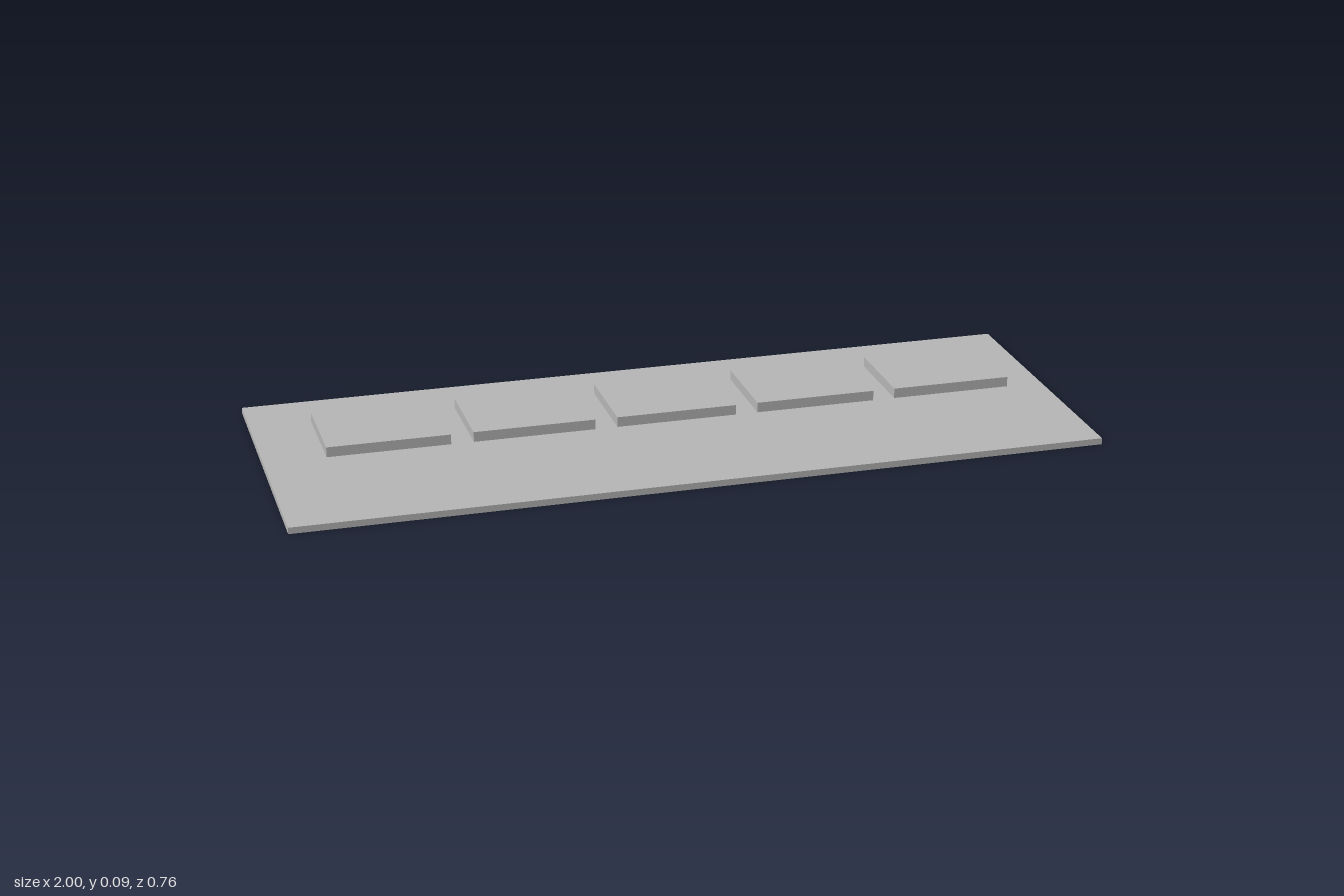
import * as THREE from 'three';

export function createModel() {
  const model = new THREE.Group();
  model.name = 'tileBoard';

  const grey = new THREE.MeshStandardMaterial({ color: 0xb4b4b4 });
  grey.name = 'light grey';

  // Box placed by its underside height
  function slab(name, width, height, depth, x, bottom) {
    const mesh = new THREE.Mesh(new THREE.BoxGeometry(width, height, depth), grey);
    mesh.name = name;
    mesh.position.set(x, bottom + height / 2, 0);
    model.add(mesh);
  }

  // Thin base board
  slab('baseBoard', 2, 0.016, 0.763, 0, 0);

  // Row of five tiles hovering above the board
  const spacing = 0.355;
  for (let i = 0; i < 5; i++) {
    slab(`tile${i + 1}`, 0.3, 0.025, 0.229, -0.005 + (i - 2) * spacing, 0.067);
  }

  return model;
}
